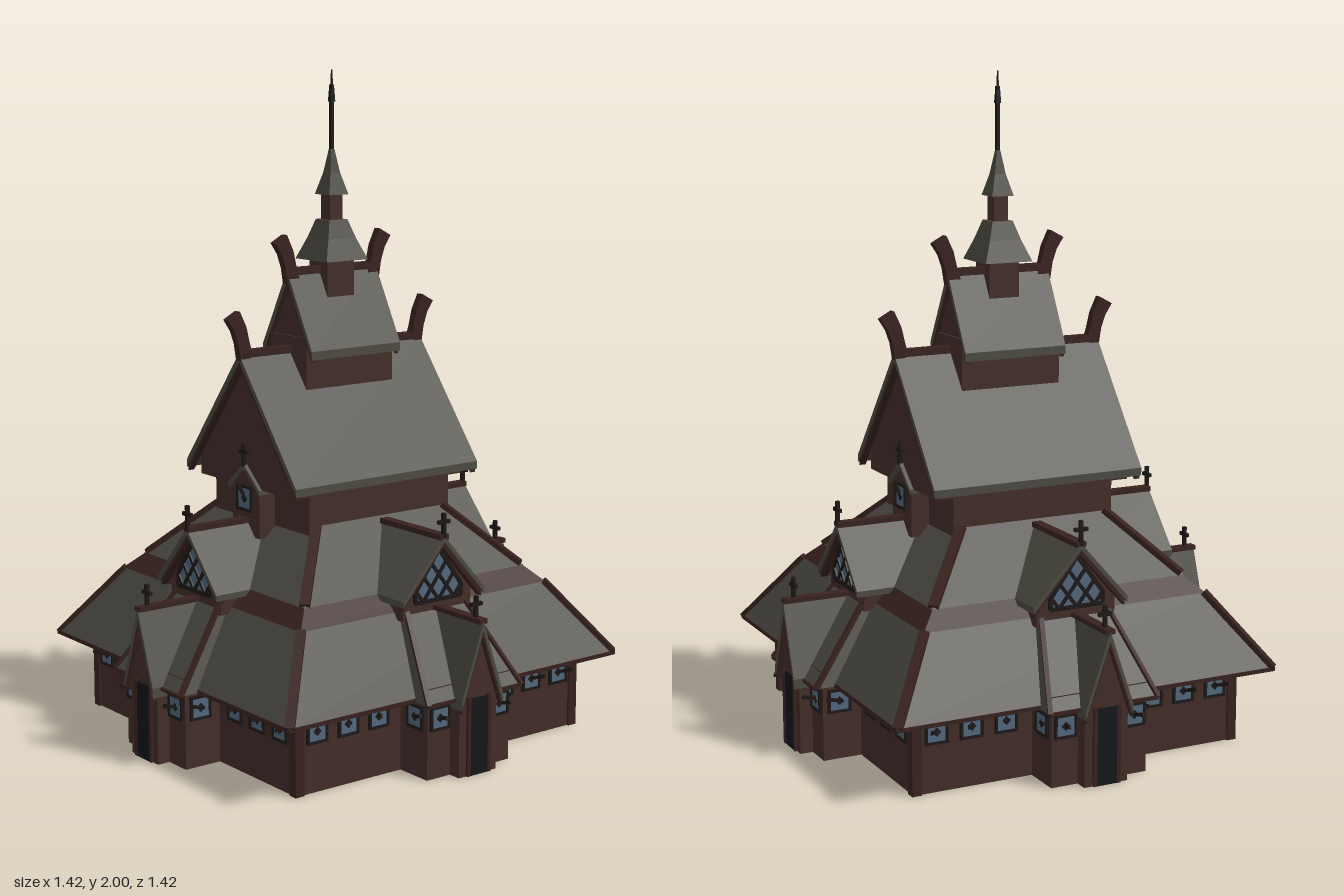
import * as THREE from 'three';

const mat = (color, side = THREE.FrontSide) =>
  new THREE.MeshStandardMaterial({ color, flatShading: true, side });
const ROOF = mat(0x4c4a42, THREE.DoubleSide), WOOD = mat(0x432d29), TRIM = mat(0x38221f);
const DARK = mat(0x1d1817), GLASS = mat(0x52687e), DOOR = mat(0x14161a);

function add(parent, name, geometry, material) {
  const m = new THREE.Mesh(geometry, material);
  m.name = name;
  parent.add(m);
  return m;
}
function box(parent, name, material, w, h, d, x, y, z) {
  const m = add(parent, name, new THREE.BoxGeometry(w, h, d), material);
  m.position.set(x, y, z);
  return m;
}
// Straight board of square-cut section between two points
function beam(parent, name, material, a, b, w, h = w) {
  const p = new THREE.Vector3(...a), q = new THREE.Vector3(...b);
  const m = box(parent, name, material, w, h, p.distanceTo(q), 0, 0, 0);
  m.position.copy(p).lerp(q, 0.5);
  m.lookAt(q);
  return m;
}
// Square tapered skirt; r0 and r1 are half widths at heights y0 and y1
function skirt(parent, name, material, r0, y0, r1, y1, open = true) {
  const g = new THREE.CylinderGeometry(r1 * Math.SQRT2, r0 * Math.SQRT2, y1 - y0, 4, 1, open);
  g.rotateY(Math.PI / 4).translate(0, (y0 + y1) / 2, 0);
  return add(parent, name, g, material);
}
// Outline in x,y pushed from z0 to z1
function prism(parent, name, material, pts, z0, z1) {
  const shape = new THREE.Shape(pts.map(p => new THREE.Vector2(...p)));
  const g = new THREE.ExtrudeGeometry(shape, { depth: z1 - z0, bevelEnabled: false });
  return add(parent, name, g.translate(0, 0, z0), material);
}
const gableWall = (parent, name, hw, y0, eave, ridge, z0, z1) =>
  prism(parent, name, WOOD, [[-hw, y0], [hw, y0], [hw, eave], [0, ridge], [-hw, eave]], z0, z1);
const chevron = (parent, name, material, hw, eave, ridge, t, z0, z1) =>
  prism(parent, name, material,
    [[-hw, eave - t], [0, ridge - t], [hw, eave - t], [hw, eave], [0, ridge], [-hw, eave]], z0, z1);

// Square leaded window facing +z
function leadedWindow(parent, x, y, z, s) {
  const g = new THREE.Group();
  g.name = 'window';
  g.position.set(x, y, z);
  parent.add(g);
  const h = s / 2, b = s * 0.12;
  box(g, 'pane', GLASS, s, s, 0.006, 0, 0, 0);
  for (const k of [-1, 1]) {
    box(g, 'frameSide', DARK, b, s + b, 0.014, k * h, 0, 0);
    box(g, 'frameRail', DARK, s + b, b, 0.014, 0, k * h, 0);
    beam(g, 'leadBar', DARK, [-h, -k * h, 0.003], [h, k * h, 0.003], b * 0.8, 0.008);
  }
  box(g, 'leadBoss', DARK, s * 0.3, s * 0.3, 0.009, 0, 0, 0.001).rotation.z = Math.PI / 4;
}
function cross(parent, y, z, h) {
  box(parent, 'crossPost', DARK, 0.011, h, 0.011, 0, y + h / 2, z);
  box(parent, 'crossArm', DARK, 0.042, 0.011, 0.011, 0, y + h * 0.65, z);
}

// Everything that repeats on each of the four faces, modelled facing +z
function side() {
  const g = new THREE.Group();
  g.name = 'side';
  for (const x of [-0.46, -0.35, -0.24, 0.24, 0.35, 0.46]) leadedWindow(g, x, 0.18, 0.532, 0.064);

  // Porch: wide flanks with a narrow steep gable in front
  box(g, 'porchFlankWall', WOOD, 0.31, 0.27, 0.26, 0, 0.135, 0.52);
  gableWall(g, 'porchFrontWall', 0.07, 0, 0.235, 0.43, 0.5, 0.69);
  box(g, 'door', DOOR, 0.064, 0.23, 0.012, 0, 0.115, 0.69);
  for (const k of [-1, 1]) {
    leadedWindow(g, k * 0.112, 0.18, 0.652, 0.064);
    box(g, 'doorPost', TRIM, 0.012, 0.235, 0.014, k * 0.038, 0.118, 0.691);
    const w = new THREE.Group();
    w.name = 'porchSideWindow';
    w.rotation.y = k * Math.PI / 2;
    g.add(w);
    leadedWindow(w, -k * 0.6, 0.18, 0.157, 0.064);
    const flank = new THREE.BufferGeometry();
    const A = [0, 0.455, 0.5], B = [0, 0.23, 0.68], C = [k * 0.175, 0.23, 0.68],
      D = [k * 0.11, 0.455, 0.5], E = [k * 0.175, 0.23, 0.56], F = [k * 0.11, 0.455, 0.43];
    const tris = k > 0 ? [A, B, C, A, C, D, D, C, E, D, E, F] : [A, C, B, A, D, C, D, E, C, D, F, E];
    flank.setAttribute('position', new THREE.Float32BufferAttribute(tris.flat(), 3));
    flank.computeVertexNormals();
    add(g, 'porchFlankRoof', flank, ROOF);
    beam(g, 'porchFlankHip', TRIM, C, D, 0.014);
    beam(g, 'porchFlankEave', TRIM, [k * 0.075, 0.23, 0.678], C, 0.01);
  }
  chevron(g, 'porchRoof', ROOF, 0.077, 0.235, 0.458, 0.03, 0.44, 0.71);
  chevron(g, 'porchBargeboard', TRIM, 0.074, 0.225, 0.442, 0.03, 0.692, 0.707);
  box(g, 'porchRidge', TRIM, 0.03, 0.014, 0.27, 0, 0.456, 0.575);
  cross(g, 0.455, 0.676, 0.07);

  // Middle gable with its lattice window
  gableWall(g, 'gableWall', 0.128, 0.43, 0.5, 0.645, 0.25, 0.505);
  chevron(g, 'gableRoof', ROOF, 0.153, 0.5, 0.672, 0.018, 0.25, 0.537);
  chevron(g, 'gableBargeboard', TRIM, 0.148, 0.488, 0.656, 0.018, 0.506, 0.53);
  box(g, 'gableRidge', TRIM, 0.03, 0.016, 0.28, 0, 0.669, 0.397);
  cross(g, 0.665, 0.532, 0.075);
  const outline = [[-0.085, 0.48], [0.085, 0.48], [0.085, 0.515], [0, 0.63], [-0.085, 0.515]];
  prism(g, 'gablePane', GLASS, outline, 0.5, 0.509);
  outline.forEach((p, i) =>
    beam(g, 'gableFrame', DARK, [...p, 0.508], [...outline[(i + 1) % 5], 0.508], 0.012));
  for (const k of [-1, 1])
    for (const [x0, y0, x1, y1] of [[-0.085, 0.515, -0.058, 0.48], [-0.057, 0.553, 0, 0.48],
      [-0.028, 0.591, 0.058, 0.48]])
      beam(g, 'gableLattice', DARK, [k * x0, y0, 0.509], [k * x1, y1, 0.509], 0.01, 0.01);

  // Hip boards and eave boards of the two skirt roofs
  beam(g, 'lowerHip', TRIM, [0.615, 0.237, 0.615], [0.462, 0.453, 0.462], 0.028, 0.016);
  beam(g, 'upperHip', TRIM, [0.412, 0.505, 0.412], [0.24, 0.683, 0.24], 0.03, 0.016);
  box(g, 'lowerEave', TRIM, 1.236, 0.012, 0.012, 0, 0.233, 0.614);
  box(g, 'cornerPost', TRIM, 0.03, 0.34, 0.03, 0.522, 0.17, 0.522);
  return g;
}

export function createModel() {
  const model = new THREE.Group();
  model.name = 'staveChurch';

  // Lower tiers
  box(model, 'groundWall', WOOD, 1.06, 0.35, 1.06, 0, 0.175, 0);
  skirt(model, 'lowerRoof', ROOF, 0.62, 0.235, 0.465, 0.45);
  skirt(model, 'collarWall', TRIM, 0.466, 0.45, 0.415, 0.5, false);
  skirt(model, 'middleRoof', ROOF, 0.418, 0.5, 0.24, 0.68, false);
  for (let i = 0; i < 4; i++) {
    const s = side();
    s.rotation.y = i * Math.PI / 2;
    model.add(s);
  }

  // Nave and upper loft
  box(model, 'naveWall', WOOD, 0.48, 0.16, 0.53, 0, 0.72, 0);
  gableWall(model, 'naveGable', 0.24, 0.77, 0.83, 1.14, -0.32, 0.32);
  chevron(model, 'naveRoof', ROOF, 0.282, 0.81, 1.172, 0.024, -0.345, 0.345);
  box(model, 'naveRidge', TRIM, 0.03, 0.022, 0.67, 0, 1.17, 0);
  gableWall(model, 'loftWall', 0.09, 1.03, 1.21, 1.37, -0.155, 0.155);
  box(model, 'loftBase', WOOD, 0.18, 0.16, 0.326, 0, 1.13, 0);
  chevron(model, 'loftRoof', ROOF, 0.123, 1.175, 1.405, 0.026, -0.168, 0.168);
  box(model, 'loftRidge', TRIM, 0.028, 0.022, 0.33, 0, 1.402, 0);

  // Gable ends: bargeboards, carved ridge finials, small window dormers
  const finial = [[0.3, 1.16], [0.345, 1.15], [0.353, 1.2], [0.367, 1.24], [0.39, 1.275],
    [0.348, 1.298], [0.325, 1.25], [0.313, 1.2]];
  for (const turn of [0, Math.PI]) {
    const end = new THREE.Group();
    end.name = 'gableEnd';
    end.rotation.y = turn;
    model.add(end);
    chevron(end, 'naveBargeboard', TRIM, 0.277, 0.798, 1.152, 0.022, 0.322, 0.342);
    chevron(end, 'loftBargeboard', TRIM, 0.118, 1.165, 1.385, 0.024, 0.15, 0.165);
    for (const [dz, dy] of [[0, 0], [-0.172, 0.215]]) {
      const f = prism(end, 'ridgeFinial', TRIM, finial, -0.013, 0.013);
      f.geometry.rotateY(-Math.PI / 2);
      f.position.set(0, dy, dz);
    }
    gableWall(end, 'dormerWall', 0.068, 0.62, 0.775, 0.82, 0.2, 0.322);
    chevron(end, 'dormerRoof', ROOF, 0.08, 0.77, 0.84, 0.014, 0.2, 0.332);
    leadedWindow(end, 0, 0.735, 0.324, 0.07);
    cross(end, 0.83, 0.328, 0.07);
  }

  // Turret and spire
  box(model, 'turret', WOOD, 0.09, 0.14, 0.1, 0, 1.37, 0);
  skirt(model, 'turretRoofLower', ROOF, 0.078, 1.43, 0.052, 1.495, false);
  skirt(model, 'turretRoofUpper', ROOF, 0.052, 1.495, 0.034, 1.55, false);
  box(model, 'lantern', WOOD, 0.046, 0.09, 0.046, 0, 1.585, 0);
  skirt(model, 'lanternRoofLower', ROOF, 0.036, 1.625, 0.018, 1.69, false);
  skirt(model, 'lanternRoofUpper', ROOF, 0.018, 1.69, 0.006, 1.76, false);
  skirt(model, 'spirePole', DARK, 0.0055, 1.75, 0.0055, 1.95, false);
  skirt(model, 'spireCollar', DARK, 0.008, 1.9, 0.005, 1.95, false);
  skirt(model, 'spireTip', DARK, 0.003, 1.95, 0.0015, 1.995, false);
  return model;
}
